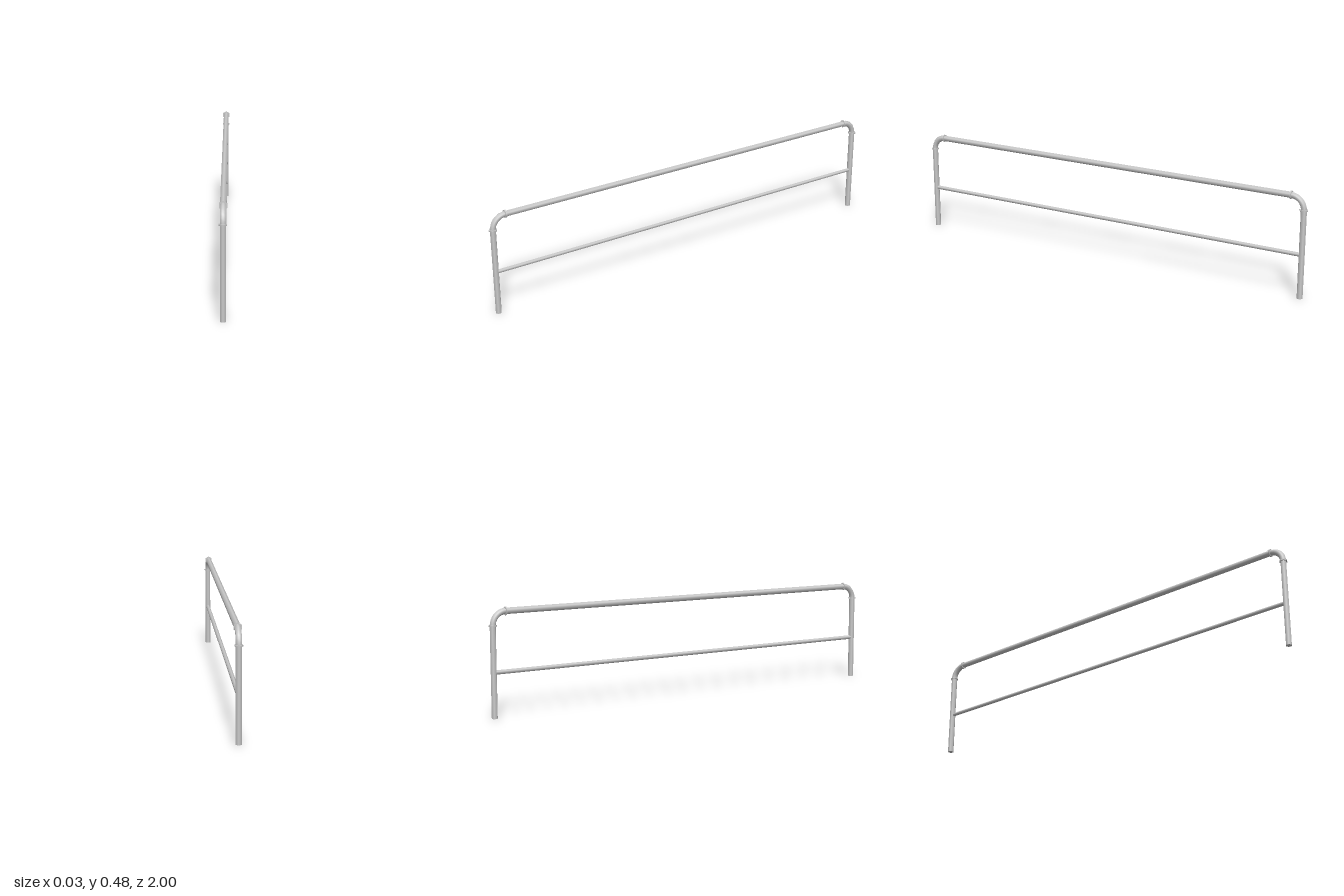
import * as THREE from 'three';

const SIDES = 6;       // hexagonal tubing, smooth shaded
const R = 0.0139;      // main tube
const LEG_Z = 0.981;
const LEG_TOP = 0.397;
const BEND = 0.06;
const RAIL_Y = LEG_TOP + BEND;

export function createModel() {
  const model = new THREE.Group();
  const material = new THREE.MeshStandardMaterial({ color: 0xcccccc });

  function add(name, geometry, y, z) {
    const mesh = new THREE.Mesh(geometry, material);
    mesh.name = name;
    mesh.position.set(0, y, z);
    model.add(mesh);
    return mesh;
  }
  const upright = (r, length) => new THREE.CylinderGeometry(r, r, length, SIDES);
  const level = (r, length) => upright(r, length).rotateX(Math.PI / 2);

  // Horizontal bars
  add('topRail', level(R, 2 * (LEG_Z - BEND)), RAIL_Y, 0);
  add('lowerRail', level(0.0095, 2 * LEG_Z), 0.198, 0);

  for (const [end, s] of [['front', 1], ['back', -1]]) {
    // Leg with a collar where it meets the elbow
    add(end + 'Leg', upright(R, LEG_TOP), LEG_TOP / 2, s * LEG_Z);
    add(end + 'LegCollar', upright(0.019, 0.006), LEG_TOP, s * LEG_Z);

    // Quarter-turn elbow from the leg into the top rail
    const bend = new THREE.TorusGeometry(BEND, R, SIDES, 8, Math.PI / 2);
    bend.rotateY(-s * Math.PI / 2);
    add(end + 'Elbow', bend, LEG_TOP, s * (LEG_Z - BEND));

    // Collar at the end of the top rail
    add(end + 'RailCollar', level(0.019, 0.006), RAIL_Y, s * (LEG_Z - BEND));
  }
  return model;
}
